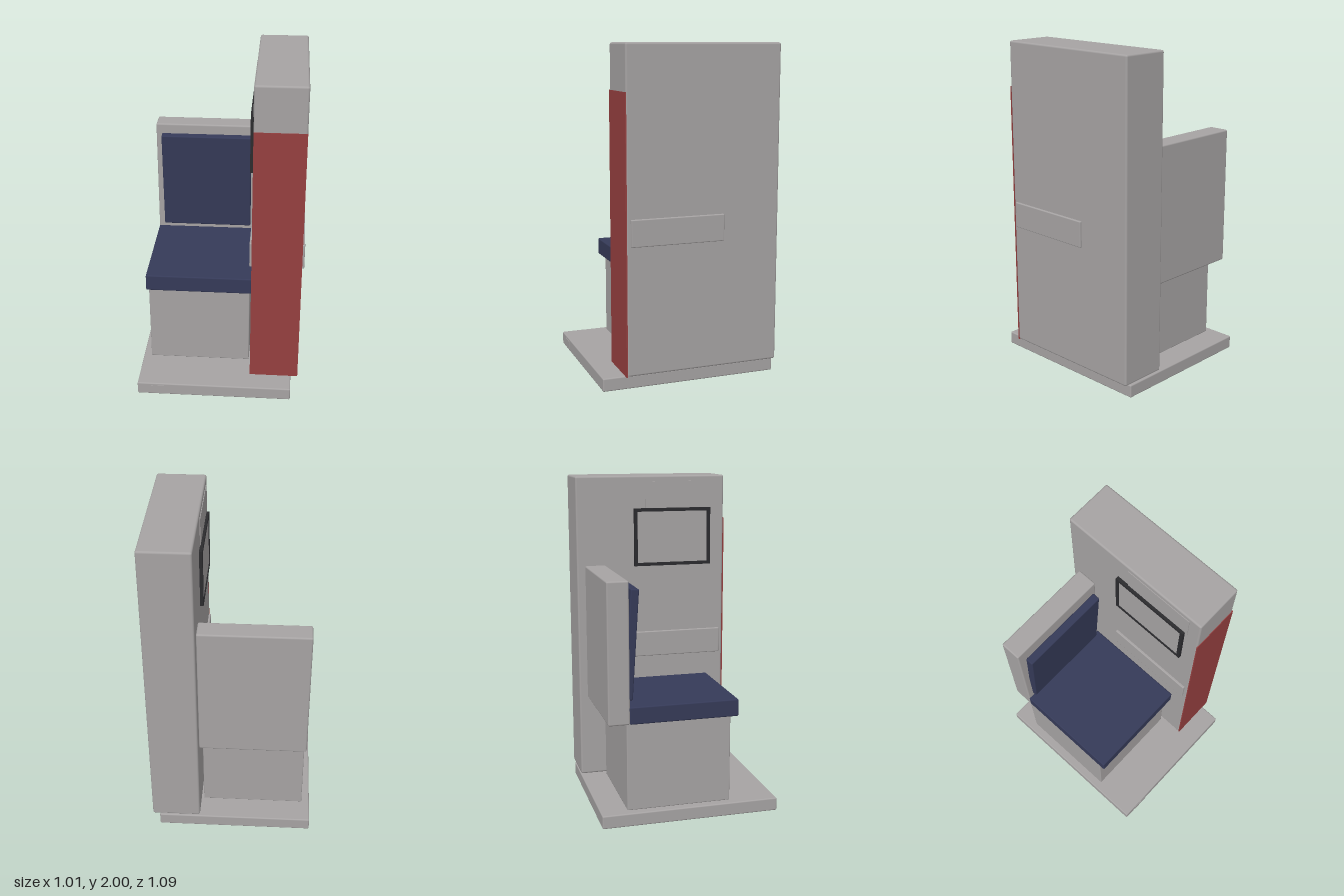
import * as THREE from 'three';
import { RoundedBoxGeometry } from 'three/addons/geometries/RoundedBoxGeometry.js';

const material = (name, color) => {
  const m = new THREE.MeshStandardMaterial({ color });
  m.name = name;
  return m;
};

export function createModel() {
  const group = new THREE.Group();
  const grey = material('grey shell', 0xa6a3a3);
  const blue = material('navy upholstery', 0x353a58);
  const red = material('red panel', 0x964040);
  const dark = material('dark frame', 0x2b2b2e);

  // Box from its limits on each axis, with softened edges when r > 0
  function box(name, mat, [x0, x1], [y0, y1], [z0, z1], r = 0) {
    const size = [x1 - x0, y1 - y0, z1 - z0];
    const geo = r > 0 ? new RoundedBoxGeometry(...size, 2, r) : new THREE.BoxGeometry(...size);
    const mesh = new THREE.Mesh(geo, mat);
    mesh.name = name;
    mesh.position.set((x0 + x1) / 2, (y0 + y1) / 2, (z0 + z1) / 2);
    group.add(mesh);
    return mesh;
  }

  // Floor plate with a small tab on its front edge
  box('base', grey, [-0.505, 0.447], [0, 0.08], [-0.545, 0.54], 0.008);
  box('baseTab', grey, [-0.42, -0.32], [0.015, 0.065], [0.538, 0.543]);

  // Tall side wall with its red front panel
  box('sideWall', grey, [0.19, 0.49], [0.088, 2], [-0.545, 0.405], 0.012);
  box('frontPanel', red, [0.19, 0.49], [0.085, 1.73], [0.402, 0.409]);

  // Armrest strip on both faces of the wall
  for (const [x0, x1] of [[0.176, 0.2], [0.48, 0.503]]) {
    box('armrest', grey, [x0, x1], [0.855, 1.015], [-0.192, 0.38], 0.006);
  }

  // Screen on the seat side: frame bars round a grey display, shallow panel above
  const fx = [0.17, 0.195];
  box('screenBack', dark, [0.178, 0.195], [1.445, 1.795], [-0.178, 0.308]);
  box('screenDisplay', grey, [0.175, 0.179], [1.46, 1.78], [-0.16, 0.29]);
  box('screenFrameTop', dark, fx, [1.78, 1.8], [-0.182, 0.312]);
  box('screenFrameBottom', dark, fx, [1.44, 1.46], [-0.182, 0.312]);
  box('screenFrameRear', dark, fx, [1.46, 1.78], [-0.182, -0.162]);
  box('screenFrameFront', dark, fx, [1.46, 1.78], [0.292, 0.312]);
  box('upperPanel', grey, [0.186, 0.194], [1.79, 1.965], [-0.105, 0.33]);

  // Seat
  box('pedestal', grey, [-0.455, 0.176], [0.08, 0.615], [-0.385, 0.25], 0.006);
  box('seatCushion', blue, [-0.465, 0.188], [0.61, 0.715], [-0.368, 0.297], 0.008);
  box('backrest', grey, [-0.465, 0.188], [0.61, 1.452], [-0.495, -0.365], 0.01);

  // Back cushion, tipped slightly forward at the top
  const back = box('backCushion', blue, [-0.425, 0.15], [0.745, 1.398], [-0.367, -0.317], 0.008);
  back.rotation.x = 0.065;

  return group;
}
